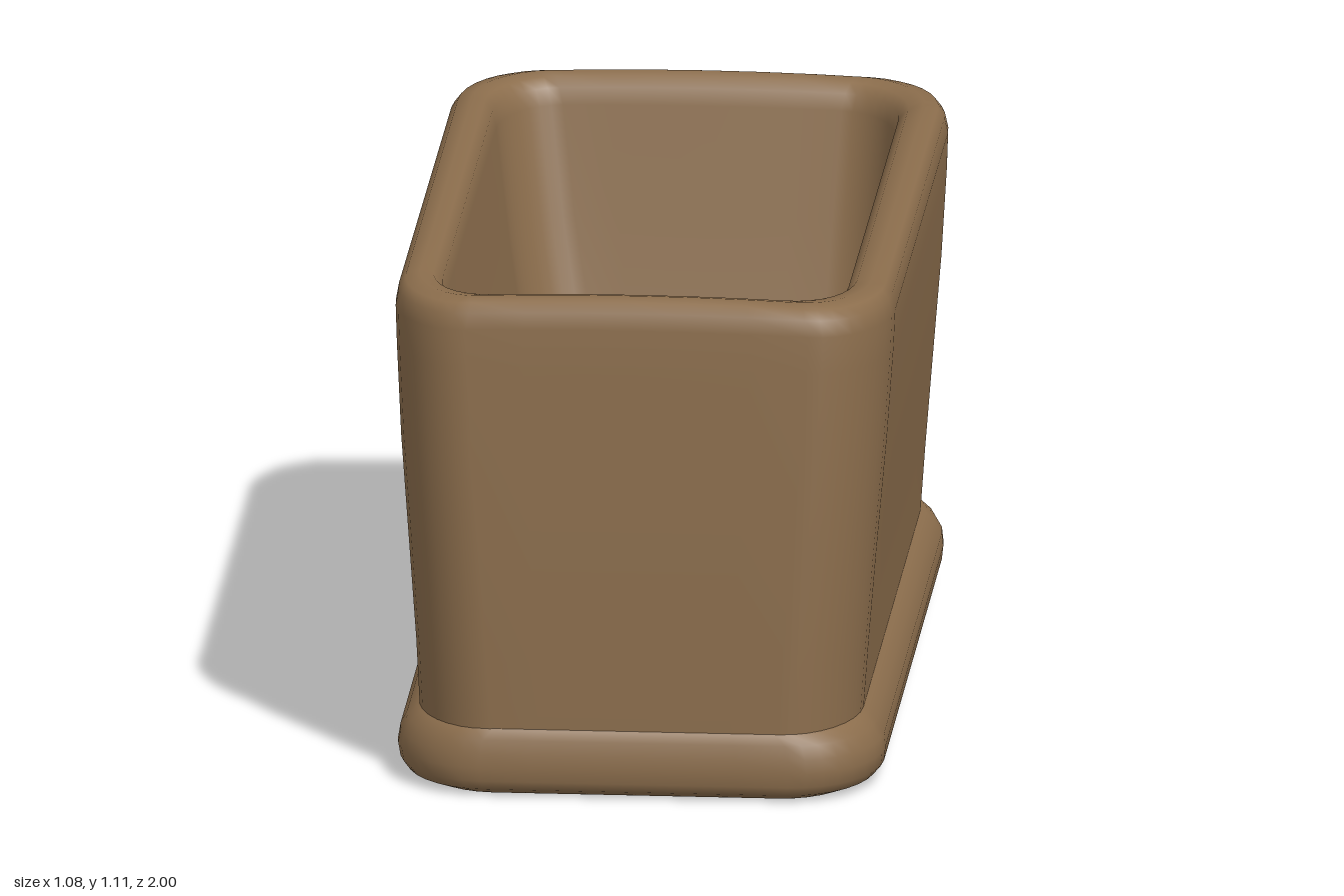
import * as THREE from 'three';

// Outline of a rectangle with elliptical corners, running from +x towards +z
function outline(x0, x1, z0, z1, rx, rz, arc = 8, side = 6) {
  const corners = [
    [x1 - rx, z1 - rz, 0], [x0 + rx, z1 - rz, 1],
    [x0 + rx, z0 + rz, 2], [x1 - rx, z0 + rz, 3],
  ];
  const pts = [];
  corners.forEach(([cx, cz, q], k) => {
    for (let i = 0; i <= arc; i++) {
      const a = (q + i / arc) * Math.PI / 2;
      pts.push([cx + rx * Math.cos(a), cz + rz * Math.sin(a)]);
    }
    // points along the straight side up to the next corner
    const [nx, nz, nq] = corners[(k + 1) % 4];
    const a = nq * Math.PI / 2;
    const end = [nx + rx * Math.cos(a), nz + rz * Math.sin(a)];
    const start = pts[pts.length - 1];
    for (let i = 1; i < side; i++) {
      const t = i / side;
      pts.push([start[0] + (end[0] - start[0]) * t, start[1] + (end[1] - start[1]) * t]);
    }
  });
  return pts;
}

// Smooth skin through a stack of sections [y, x0, x1, z0, z1, rx, rz]
function loft(sections) {
  const pos = [], index = [];
  let n = 0;
  sections.forEach(([y, ...s]) => {
    const ring = outline(...s);
    n = ring.length;
    ring.forEach(([x, z]) => {
      // the foot rises slightly to the back, the rim arches over the short ends
      const low = Math.max(0, 1 - y / 1.1), high = Math.max(0, (y - 0.8) / 0.3);
      const tilt = 0.035 * low * (1 - z) / 2 + 0.012 * high * (1 - z) / 2;
      const arch = 0.012 * high * Math.max(0, 1 - (x / 0.42) ** 2) * Math.min(1, Math.abs(z));
      pos.push(x, y + tilt + arch, z);
    });
  });
  for (let i = 0; i < sections.length - 1; i++) {
    for (let j = 0; j < n; j++) {
      const a = i * n + j, b = i * n + (j + 1) % n;
      index.push(a, a + n, b + n, a, b + n, b);
    }
  }
  const g = new THREE.BufferGeometry();
  g.setAttribute('position', new THREE.Float32BufferAttribute(pos, 3));
  g.setIndex(index);
  g.computeVertexNormals();
  return g;
}

export function createModel() {
  const group = new THREE.Group();
  group.name = 'planterBox';
  const clay = new THREE.MeshStandardMaterial({ color: 0x8b6d4c });
  clay.name = 'brownClay';

  // Rounded foot moulding with its underside
  const foot = loft([
    [0.003, 0, 0, 0, 0, 0, 0],
    [0.003, -0.42, 0.42, -0.92, 0.92, 0.14, 0.18],
    [0.006, -0.47, 0.47, -0.965, 0.965, 0.16, 0.2],
    [0.02, -0.51, 0.505, -0.988, 0.99, 0.18, 0.22],
    [0.04, -0.525, 0.522, -0.998, 0.999, 0.19, 0.23],
    [0.07, -0.53, 0.525, -1, 1, 0.19, 0.23],
    [0.1, -0.525, 0.522, -0.998, 0.998, 0.19, 0.23],
    [0.13, -0.51, 0.505, -0.99, 0.99, 0.18, 0.22],
    [0.15, -0.49, 0.487, -0.98, 0.983, 0.18, 0.22],
    [0.165, -0.47, 0.465, -0.96, 0.965, 0.18, 0.22],
  ]);

  // Flared walls, rolled rim, tapering hollow and floor
  const body = loft([
    [0.13, -0.483, 0.475, -0.975, 0.98, 0.17, 0.22],
    [0.3, -0.492, 0.487, -0.972, 0.975, 0.17, 0.22],
    [0.5, -0.507, 0.503, -0.966, 0.968, 0.17, 0.22],
    [0.75, -0.527, 0.524, -0.96, 0.955, 0.17, 0.23],
    [0.95, -0.538, 0.537, -0.955, 0.942, 0.17, 0.24],
    [1.03, -0.541, 0.54, -0.95, 0.936, 0.17, 0.24],
    [1.065, -0.535, 0.533, -0.943, 0.93, 0.17, 0.24],
    [1.085, -0.52, 0.518, -0.93, 0.915, 0.16, 0.23],
    [1.092, -0.49, 0.488, -0.905, 0.885, 0.15, 0.21],
    [1.085, -0.462, 0.455, -0.88, 0.85, 0.14, 0.19],
    [1.065, -0.444, 0.435, -0.863, 0.83, 0.13, 0.18],
    [1.03, -0.435, 0.427, -0.853, 0.82, 0.13, 0.18],
    [0.8, -0.405, 0.412, -0.8, 0.79, 0.13, 0.17],
    [0.5, -0.355, 0.395, -0.73, 0.745, 0.13, 0.16],
    [0.3, -0.315, 0.375, -0.675, 0.71, 0.13, 0.15],
    [0.22, -0.285, 0.35, -0.64, 0.685, 0.12, 0.14],
    [0.185, -0.245, 0.31, -0.6, 0.64, 0.11, 0.13],
    [0.175, -0.18, 0.25, -0.53, 0.57, 0.09, 0.11],
    [0.175, 0.03, 0.03, 0, 0, 0, 0],
  ]);

  [['footMoulding', foot], ['hollowBody', body]].forEach(([name, geo]) => {
    const mesh = new THREE.Mesh(geo, clay);
    mesh.name = name;
    group.add(mesh);
  });
  return group;
}
